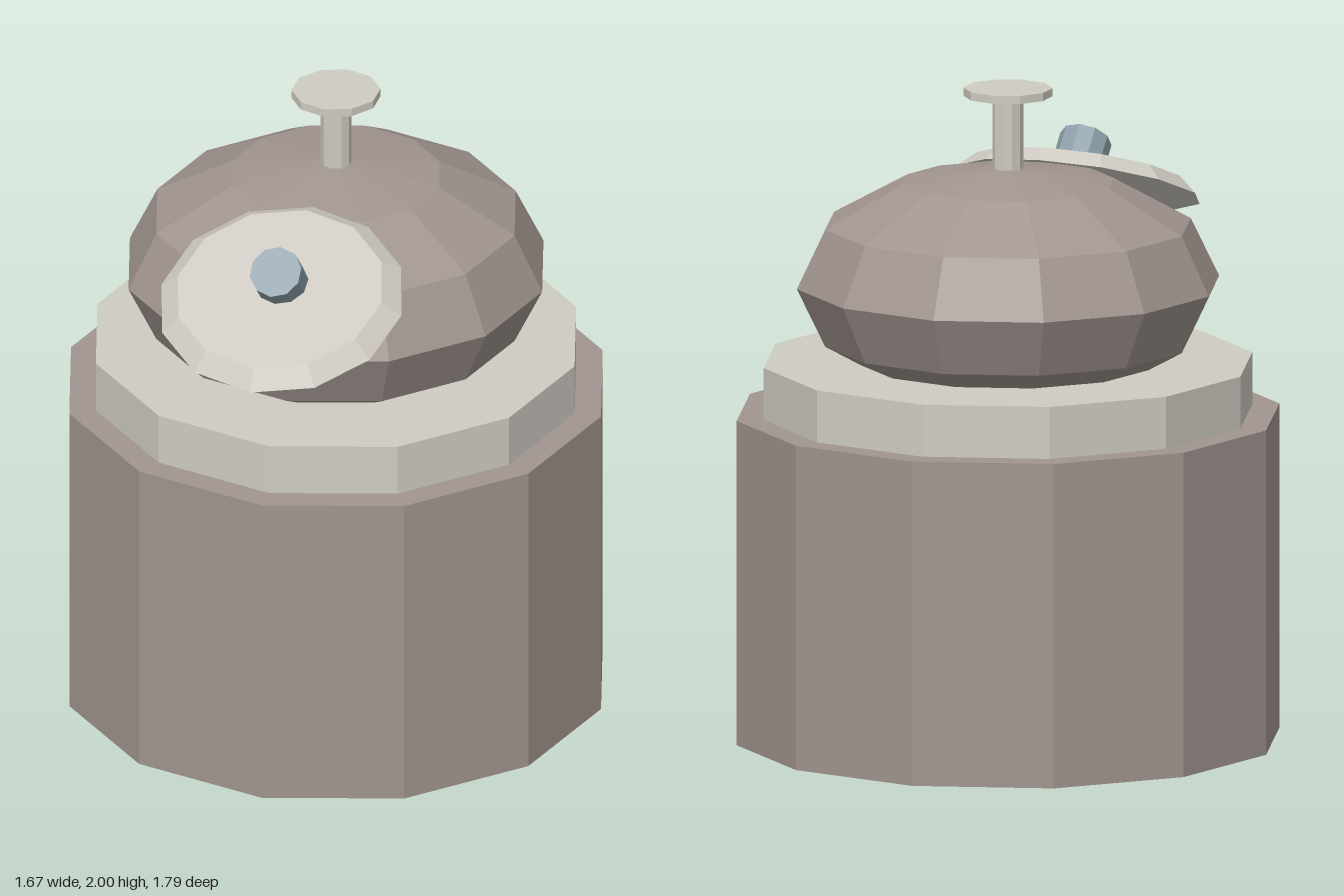
import * as THREE from 'three';

const makeMaterial = (name, color) => {
  const material = new THREE.MeshStandardMaterial({ color, flatShading: true });
  material.name = name;
  return material;
};

export function createModel() {
  const model = new THREE.Group();
  model.name = 'domedRobot';
  const shell = makeMaterial('warmGrey', 0xa1958f);
  const trim = makeMaterial('paleGrey', 0xcfcbc3);
  const lens = makeMaterial('slateBlue', 0x8c9ea8);
  const axisZ = -0.065; // upright parts share this axis

  const add = (name, geometry, material, y, z = axisZ, tilt = 0) => {
    const mesh = new THREE.Mesh(geometry, material);
    mesh.name = name;
    mesh.position.set(0, y, z);
    mesh.rotation.x = tilt;
    model.add(mesh);
    return mesh;
  };
  const drum = (top, bottom, height, sides) =>
    new THREE.CylinderGeometry(top, bottom, height, sides);

  // Body and collar
  add('body', drum(0.833, 0.833, 1, 12), shell, 0.5);
  add('collar', drum(0.75, 0.75, 0.16, 12), trim, 1.08);

  // Squashed faceted head
  const head = new THREE.SphereGeometry(0.648, 12, 6);
  head.scale(1, 0.36 / 0.648, 1);
  add('head', head, shell, 1.4);

  // Antenna with a flat disc on top
  add('antennaStem', drum(0.047, 0.047, 0.28, 10), trim, 1.84);
  add('antennaDisc', drum(0.135, 0.135, 0.025, 10), trim, 1.9875);

  // Tilted bevelled eye plate and the lens that runs through it
  const plate = drum(0.32, 0.377, 0.05, 12);
  plate.translate(0, 0.025, 0);
  add('eyePlate', plate, trim, 1.59, 0.545, 0.38);
  add('eyeLens', drum(0.08, 0.08, 0.2, 10), lens, 1.648, 0.541, Math.PI / 4);

  return model;
}
